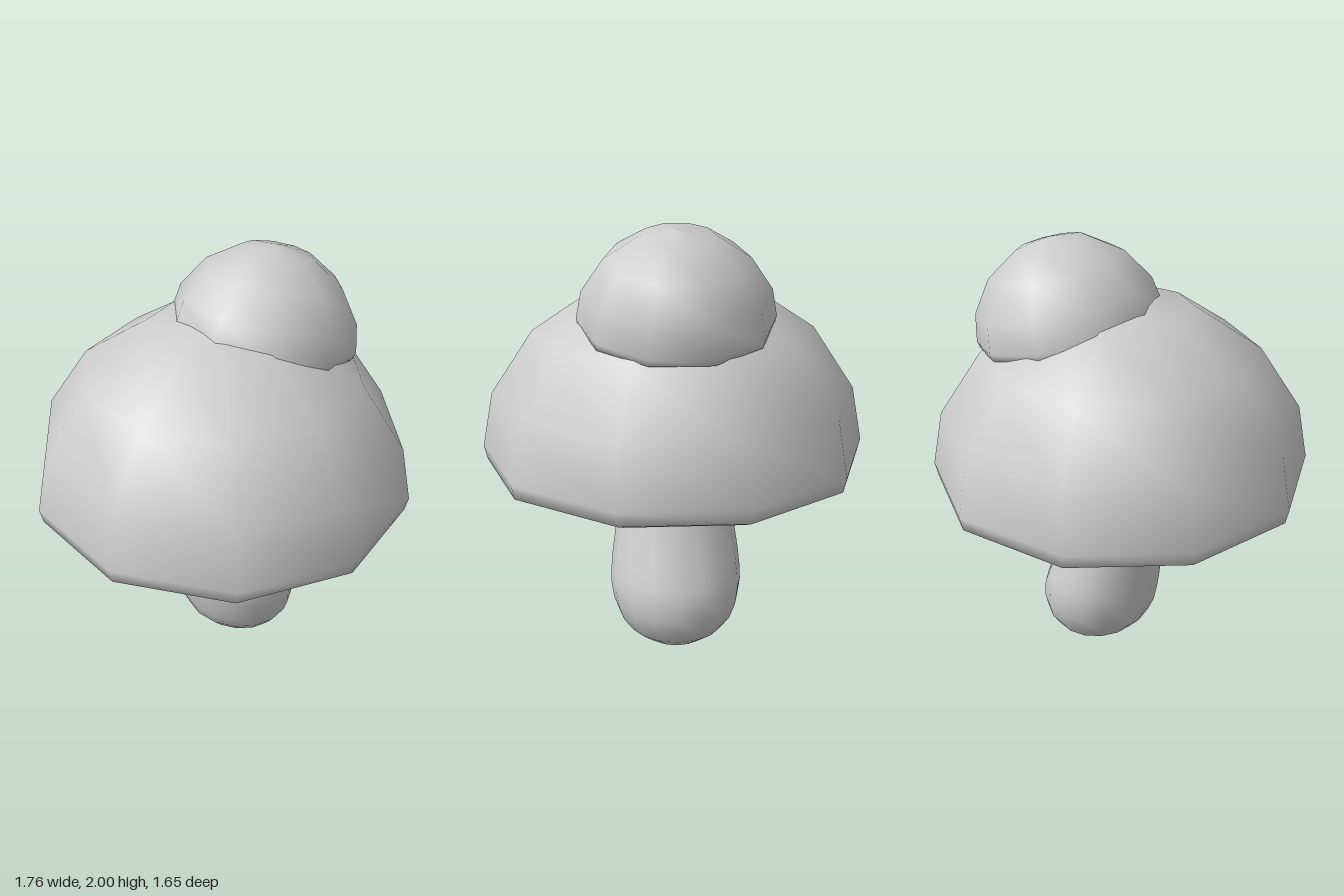
import * as THREE from 'three';

const material = new THREE.MeshStandardMaterial({ color: 0xcccccc });

// Ten-sided dome with a tucked-in rim and a flat underside
function makeCap(name) {
  const profile = [
    [0, 0], [0.76, 0], [0.8, 0], [0.865, 0.03], [0.88, 0.095],
    [0.83, 0.35], [0.635, 0.64], [0.33, 0.84], [0, 0.9],
  ].map(([r, y]) => new THREE.Vector2(r, y));
  const geometry = new THREE.LatheGeometry(profile, 10, Math.PI / 2);
  geometry.scale(1, 1, 0.985);
  const cap = new THREE.Mesh(geometry, material);
  cap.name = name;
  return cap;
}

// Bent stem lofted through ellipses; each row is y, front z, back z, half width
function makeStem() {
  const rows = [
    [0.005, -0.13, -0.13, 0], [0.012, -0.06, -0.2, 0.07], [0.035, -0.01, -0.255, 0.135],
    [0.09, 0.085, -0.325, 0.22], [0.15, 0.14, -0.365, 0.268], [0.22, 0.17, -0.38, 0.295],
    [0.3, 0.185, -0.373, 0.308], [0.36, 0.193, -0.352, 0.307], [0.45, 0.2, -0.314, 0.298],
    [0.55, 0.206, -0.268, 0.283], [0.65, 0.21, -0.228, 0.268], [0.75, 0.213, -0.192, 0.253],
    [0.87, 0.215, -0.162, 0.238], [1.0, 0.215, -0.15, 0.23],
  ];
  const sides = 16;
  const positions = [];
  const index = [];
  rows.forEach(([y, front, back, rx], i) => {
    for (let j = 0; j < sides; j++) {
      const a = (j / sides) * Math.PI * 2;
      positions.push(-0.005 + rx * Math.cos(a), y, (front + back) / 2 + ((front - back) / 2) * Math.sin(a));
      if (i === rows.length - 1) continue;
      const p = i * sides + j;
      const q = i * sides + ((j + 1) % sides);
      index.push(p, p + sides, q + sides);
      if (i > 0) index.push(p, q + sides, q);
    }
  });
  const geometry = new THREE.BufferGeometry();
  geometry.setAttribute('position', new THREE.Float32BufferAttribute(positions, 3));
  geometry.setIndex(index);
  geometry.computeVertexNormals();
  const stem = new THREE.Mesh(geometry, material);
  stem.name = 'stem';
  return stem;
}

export function createModel() {
  const model = new THREE.Group();
  model.name = 'mushroom';

  const cap = makeCap('cap');
  cap.position.y = 0.87;

  // Small cap growing from the back of the large one, leaning backwards
  const smallCap = makeCap('smallCap');
  smallCap.scale.setScalar(0.488);
  smallCap.rotation.x = THREE.MathUtils.degToRad(-12);
  smallCap.position.set(0, 1.572, -0.23);

  model.add(cap, smallCap, makeStem());
  return model;
}
